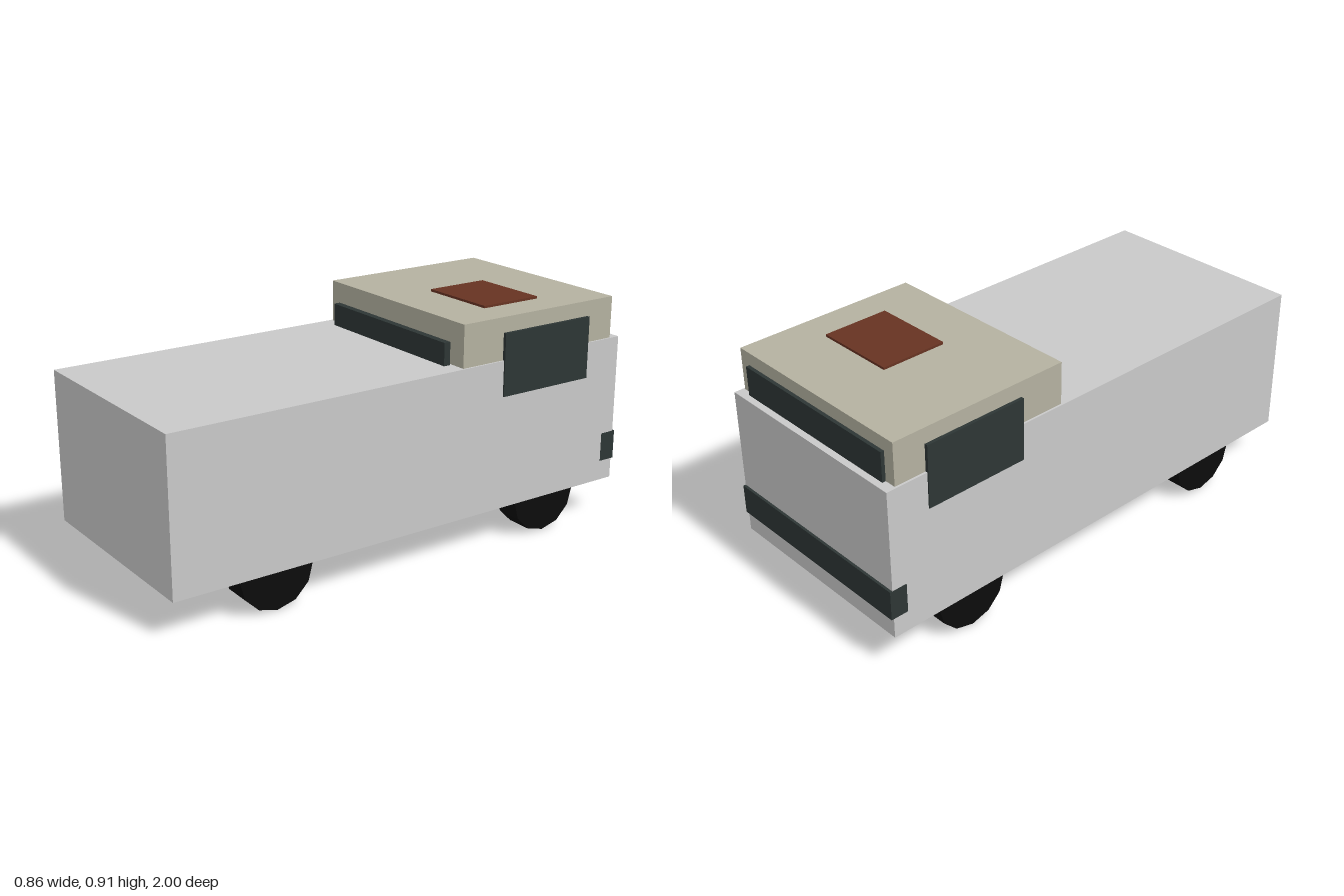
import * as THREE from 'three';

function material(name, color) {
  const m = new THREE.MeshStandardMaterial({ color });
  m.name = name;
  return m;
}

export function createModel() {
  const group = new THREE.Group();
  group.name = 'van';

  const bodyGrey = material('bodyGrey', 0xc9c9c9);
  const cabBeige = material('cabBeige', 0xb4b1a0);
  const darkGlass = material('darkGlass', 0x2d3635);
  const hatchBrown = material('hatchBrown', 0x673322);
  const tyreBlack = material('tyreBlack', 0x0b0b0b);
  tyreBlack.flatShading = true;

  // Box given by its lower and upper corners
  function box(name, mat, [x0, y0, z0], [x1, y1, z1]) {
    const mesh = new THREE.Mesh(new THREE.BoxGeometry(x1 - x0, y1 - y0, z1 - z0), mat);
    mesh.position.set((x0 + x1) / 2, (y0 + y1) / 2, (z0 + z1) / 2);
    mesh.name = name;
    group.add(mesh);
  }

  // Body and raised cab
  box('body', bodyGrey, [-0.425, 0.148, -0.99], [0.422, 0.735, 1]);
  box('cab', cabBeige, [-0.417, 0.7, -0.95], [0.415, 0.9, -0.215]);
  box('roofHatch', hatchBrown, [-0.046, 0.895, -0.687], [0.277, 0.909, -0.425]);

  // Windows
  box('frontWindow', darkGlass, [-0.353, 0.71, -0.205], [0.35, 0.823, -0.178]);
  box('rearWindow', darkGlass, [-0.372, 0.72, -0.964], [0.369, 0.85, -0.945]);
  box('rightWindow', darkGlass, [-0.43, 0.596, -0.823], [-0.41, 0.84, -0.403]);
  box('leftWindow', darkGlass, [0.408, 0.596, -0.823], [0.428, 0.84, -0.403]);

  // Bumper across the rear end
  box('bumper', darkGlass, [-0.4255, 0.228, -1], [0.4225, 0.344, -0.93]);

  // Four twelve-sided wheels
  const wheelGeometry = new THREE.CylinderGeometry(0.15, 0.15, 0.105, 12).rotateZ(Math.PI / 2);
  for (const side of [-1, 1]) {
    for (const [end, z] of [['front', 0.592], ['rear', -0.64]]) {
      const wheel = new THREE.Mesh(wheelGeometry, tyreBlack);
      wheel.name = end + (side > 0 ? 'Left' : 'Right') + 'Wheel';
      wheel.position.set(side * 0.363 - 0.0015, 0.152, z);
      group.add(wheel);
    }
  }

  return group;
}
